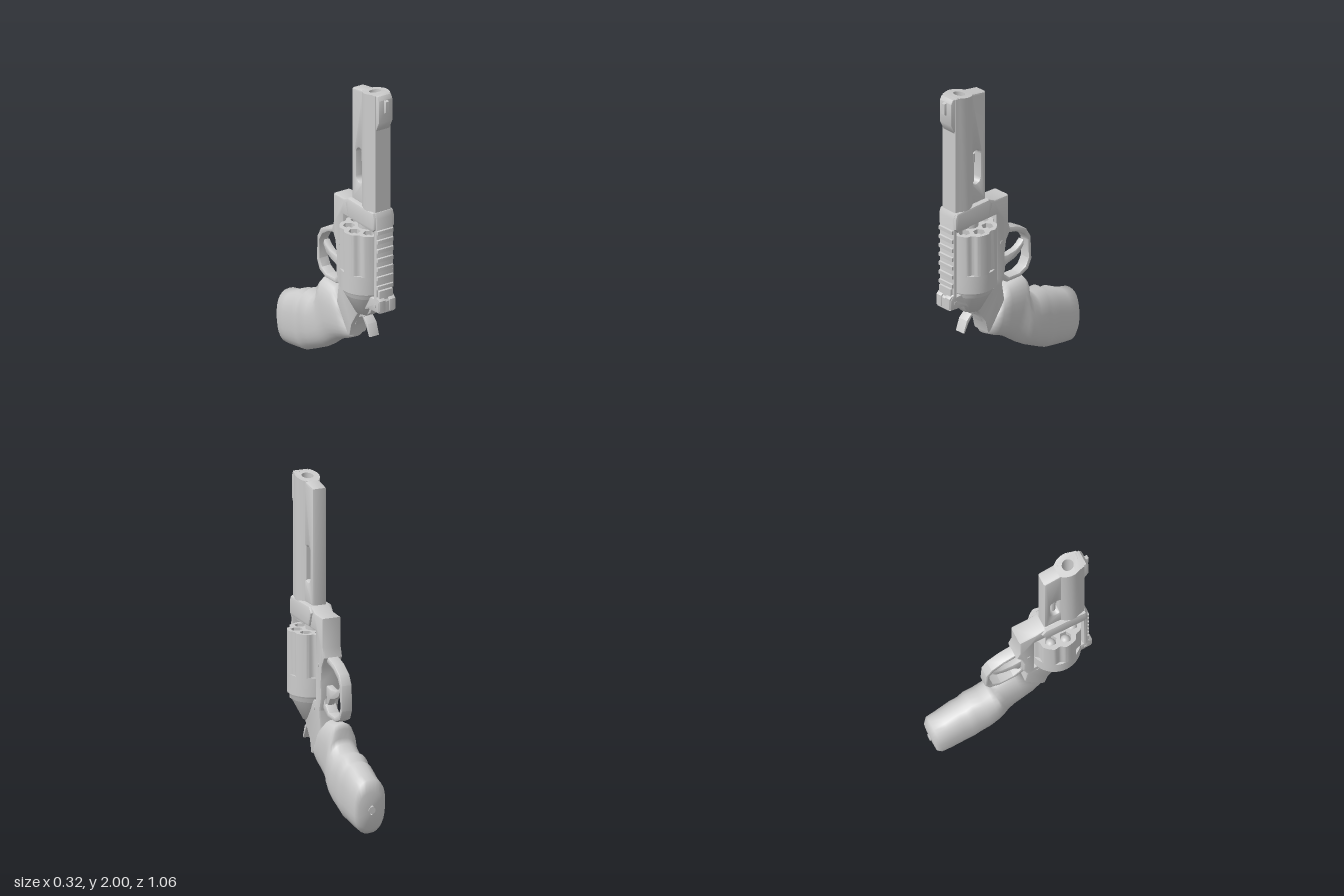
import * as THREE from 'three';
import { toCreasedNormals } from 'three/addons/utils/BufferGeometryUtils.js';

const mat = new THREE.MeshStandardMaterial({ color: 0xcccccc, side: THREE.DoubleSide });
const vec = (pts) => pts.map(([a, b]) => new THREE.Vector2(a, b));

export function createModel() {
  const model = new THREE.Group();

  const add = (name, geo, x = 0, y = 0, z = 0, crease = 0.6) => {
    const mesh = new THREE.Mesh(crease ? toCreasedNormals(geo, crease) : geo, mat);
    mesh.name = name;
    mesh.position.set(x, y, z);
    model.add(mesh);
    return mesh;
  };

  // Side profile in (z, y), extruded symmetrically across x
  const side = (pts, half, bevel = 0.01, holes = []) => {
    const shape = new THREE.Shape(vec(pts));
    shape.holes = holes.map((h) => new THREE.Path(vec(h)));
    const geo = new THREE.ExtrudeGeometry(shape, {
      depth: 2 * (half - bevel), bevelEnabled: bevel > 0, bevelSize: bevel,
      bevelThickness: bevel, bevelOffset: -bevel, bevelSegments: 2,
    });
    return geo.translate(0, 0, -(half - bevel)).rotateY(-Math.PI / 2);
  };

  // Plan section in (x, z), extruded upward from y0 to y1
  const upright = (pts, y0, y1, holes = []) => {
    const flip = (p) => vec(p.map(([x, z]) => [x, -z]));
    const shape = new THREE.Shape(flip(pts));
    shape.holes = holes.map((h) => new THREE.Path(flip(h)));
    return new THREE.ExtrudeGeometry(shape, { depth: y1 - y0, bevelEnabled: false })
      .rotateX(-Math.PI / 2).translate(0, y0, 0);
  };

  const ring = (cx, cz, r, n) => Array.from({ length: n }, (_, i) => {
    const a = (i / n) * Math.PI * 2;
    return [cx + r * Math.sin(a), cz + r * Math.cos(a)];
  });
  const post = (r0, r1, h, n = 20) => new THREE.CylinderGeometry(r0, r1, h, n);

  // Muzzle end slopes down toward the lower lug
  const slope = (geo) => {
    const p = geo.attributes.position;
    for (let i = 0; i < p.count; i++) {
      if (p.getY(i) > 1.9) p.setY(i, p.getY(i) - Math.max(0, 0.45 - p.getZ(i)) * 0.2);
    }
    return geo;
  };

  // Barrel: pear-shaped upper section with a bore, slotted lug beneath
  const halfBarrel = [[0.04, 0.325], [0.062, 0.355], [0.073, 0.39], [0.073, 0.42], [0.062, 0.455], [0.055, 0.485]];
  const barrelPlan = [...halfBarrel, ...halfBarrel.map(([x, z]) => [-x, z]).reverse()];
  add('barrel', slope(upright(barrelPlan, 1.23, 2, [ring(0, 0.4, 0.036, 16)])));
  const slot = [];
  for (let i = 0; i <= 8; i++) {
    const a = (i / 8) * Math.PI;
    slot.push([0.3 + 0.034 * Math.cos(a), 1.55 + 0.034 * Math.sin(a)]);
  }
  for (let i = 0; i <= 8; i++) {
    const a = Math.PI + (i / 8) * Math.PI;
    slot.push([0.3 + 0.034 * Math.cos(a), 1.395 + 0.034 * Math.sin(a)]);
  }
  add('barrelLug', slope(side([[0.222, 1.23], [0.35, 1.23], [0.35, 2], [0.222, 2]], 0.046, 0.014, [slot])));
  add('ejectorRod', post(0.016, 0.016, 0.22, 12), 0, 1.44, 0.3);
  add('ejectorTip', post(0.024, 0.024, 0.06, 12), 0, 1.525, 0.3);

  // Front sight
  add('frontSightRamp', side([[0.47, 1.76], [0.485, 1.77], [0.515, 1.83], [0.515, 1.975], [0.5, 2], [0.47, 2]], 0.05, 0.006));
  add('frontSightBlade', side([[0.5, 1.88], [0.535, 1.9], [0.535, 1.97], [0.5, 1.975]], 0.012, 0.002));

  // Frame with the cylinder window
  add('frame', side([
    [0.49, 1.235], [0.22, 1.235], [0.16, 1.205], [0.05, 1.2], [0.05, 1.02], [0.03, 0.96], [0.065, 0.9],
    [0.08, 0.8], [0.075, 0.7], [0.1, 0.62], [0.08, 0.5], [0.2, 0.33], [0.22, 0.33], [0.24, 0.41],
    [0.3, 0.5], [0.36, 0.55], [0.42, 0.58], [0.53, 0.59], [0.53, 0.66], [0.505, 0.69], [0.505, 1.2],
  ], 0.062, 0.012, [[[0.15, 0.67], [0.475, 0.67], [0.475, 1.1], [0.15, 1.1]]]));
  add('frameCollar', side([[0.22, 1.11], [0.48, 1.11], [0.5, 1.13], [0.5, 1.2], [0.485, 1.235], [0.22, 1.235], [0.19, 1.2]], 0.076, 0.015));
  add('recoilShield', post(0.145, 0.135, 0.03, 28), 0, 0.66, 0.31);
  add('recoilShieldTaper', post(0.135, 0.066, 0.13, 28), 0, 0.58, 0.31, 1.2);

  // Ribs along the strap
  for (let i = 0; i < 7; i++) {
    add('strapRib', side([[0.495, -0.017], [0.516, -0.012], [0.516, 0.012], [0.495, 0.017]], 0.057, 0.003), 0, 0.75 + i * 0.06, 0);
  }

  // Rear sight: base with two notch posts
  add('rearSightBase', side([[0.48, 0.6], [0.52, 0.6], [0.52, 0.73], [0.48, 0.74]], 0.05, 0.005));
  for (const s of [-1, 1]) {
    add('rearSightPost', side([[0.51, 0.59], [0.535, 0.6], [0.535, 0.67], [0.51, 0.69]], 0.022, 0.004), s * 0.036, 0, 0);
  }

  // Rotating cylinder: seven chambers, fluted upper part
  const chambers = [];
  for (let i = 0; i < 7; i++) {
    const a = Math.PI + (i / 7) * Math.PI * 2;
    chambers.push([0.104 * Math.sin(a), 0.31 + 0.104 * Math.cos(a)]);
  }
  const fluted = Array.from({ length: 112 }, (_, i) => {
    const a = (i / 112) * Math.PI * 2;
    const r = 0.16 - 0.016 * Math.max(0, Math.cos(7 * a)) ** 1.5;
    return [r * Math.sin(a), 0.31 + r * Math.cos(a)];
  });
  add('flutedCylinder', upright(fluted, 0.8, 1.07, chambers.map(([x, z]) => ring(x, z, 0.037, 6))));
  add('cylinderBase', post(0.16, 0.16, 0.12, 40), 0, 0.745, 0.31);
  add('cylinderRim', post(0.155, 0.15, 0.012, 40), 0, 0.68, 0.31);
  for (const [x, z] of chambers) {
    add('chamberRound', new THREE.SphereGeometry(0.032, 12, 8), x, 1.025, z, 0);
  }
  add('cylinderHub', post(0.05, 0.05, 0.06), 0, 1.08, 0.31);
  add('crane', side([[0.36, 1.085], [0.46, 1.085], [0.46, 1.12], [0.36, 1.12]], 0.045, 0.005));

  // Trigger guard and trigger
  add('triggerGuard', side([
    [0.09, 0.98], [0.04, 0.965], [-0.05, 0.94], [-0.125, 0.895], [-0.16, 0.835], [-0.167, 0.68], [-0.138, 0.62],
    [-0.075, 0.592], [0.035, 0.595], [0.11, 0.64],
  ], 0.036, 0.008, [[
    [0.078, 0.91], [0.045, 0.928], [-0.04, 0.907], [-0.107, 0.865], [-0.138, 0.815], [-0.142, 0.69], [-0.117, 0.643],
    [-0.065, 0.618], [0.02, 0.622], [0.07, 0.665], [0.085, 0.75],
  ]]));
  add('trigger', side([
    [0.1, 0.78], [0.02, 0.765], [-0.05, 0.775], [-0.085, 0.795], [-0.112, 0.82], [-0.117, 0.79],
    [-0.085, 0.745], [-0.03, 0.72], [0.03, 0.705], [0.06, 0.66], [0.1, 0.67],
  ], 0.022, 0.007));

  // Hammer with its curved spur
  add('hammer', side([
    [0.43, 0.6], [0.4, 0.54], [0.33, 0.49], [0.37, 0.455], [0.397, 0.38], [0.385, 0.378], [0.355, 0.435],
    [0.315, 0.485], [0.27, 0.46], [0.24, 0.4], [0.22, 0.5], [0.3, 0.6],
  ], 0.034, 0.004));

  // Side pins
  for (const [y, z] of [[0.9, 0.11], [0.62, 0.17], [0.63, 0.49]]) {
    add('framePin', post(0.012, 0.012, 0.13, 12).rotateZ(Math.PI / 2), 0, y, z);
  }

  // Grip: rounded sections of [upper z, y, lower z, y, half width]
  const sections = [
    [0.15, 0.42, 0.17, 0.39, 0.01], [0.1, 0.48, 0.215, 0.31, 0.066], [0.08, 0.54, 0.14, 0.27, 0.082],
    [0.03, 0.578, 0.07, 0.24, 0.09], [-0.1, 0.588, 0.02, 0.205, 0.093], [-0.123, 0.56, -0.02, 0.175, 0.098],
    [-0.113, 0.5, -0.06, 0.145, 0.105], [-0.135, 0.47, -0.1, 0.12, 0.111], [-0.19, 0.437, -0.16, 0.09, 0.115],
    [-0.26, 0.445, -0.22, 0.06, 0.113], [-0.297, 0.407, -0.27, 0.037, 0.111], [-0.345, 0.41, -0.33, 0.026, 0.109],
    [-0.44, 0.362, -0.42, 0.012, 0.105], [-0.51, 0.345, -0.475, 0.005, 0.1], [-0.528, 0.27, -0.503, 0.035, 0.082],
    [-0.525, 0.19, -0.518, 0.13, 0.012],
  ];
  const n = 28, pos = [], idx = [];
  const soft = (v) => Math.sign(v) * Math.abs(v) ** 0.82;
  sections.forEach(([tz, ty, bz, by, w], i) => {
    for (let j = 0; j < n; j++) {
      const a = (j / n) * Math.PI * 2, c = (soft(Math.cos(a)) + 1) / 2;
      pos.push(w * soft(Math.sin(a)), by + (ty - by) * c, bz + (tz - bz) * c);
      if (i < sections.length - 1) {
        const p = i * n + j, q = i * n + ((j + 1) % n);
        idx.push(p, q, q + n, p, q + n, p + n);
      }
    }
  });
  const grip = new THREE.BufferGeometry();
  grip.setAttribute('position', new THREE.Float32BufferAttribute(pos, 3));
  grip.setIndex(idx);
  grip.computeVertexNormals();
  add('grip', grip, 0, 0, 0, 0);
  add('gripScrew', post(0.022, 0.022, 0.02, 12).rotateX(Math.PI / 2), 0, 0.16, -0.518);

  return model;
}
